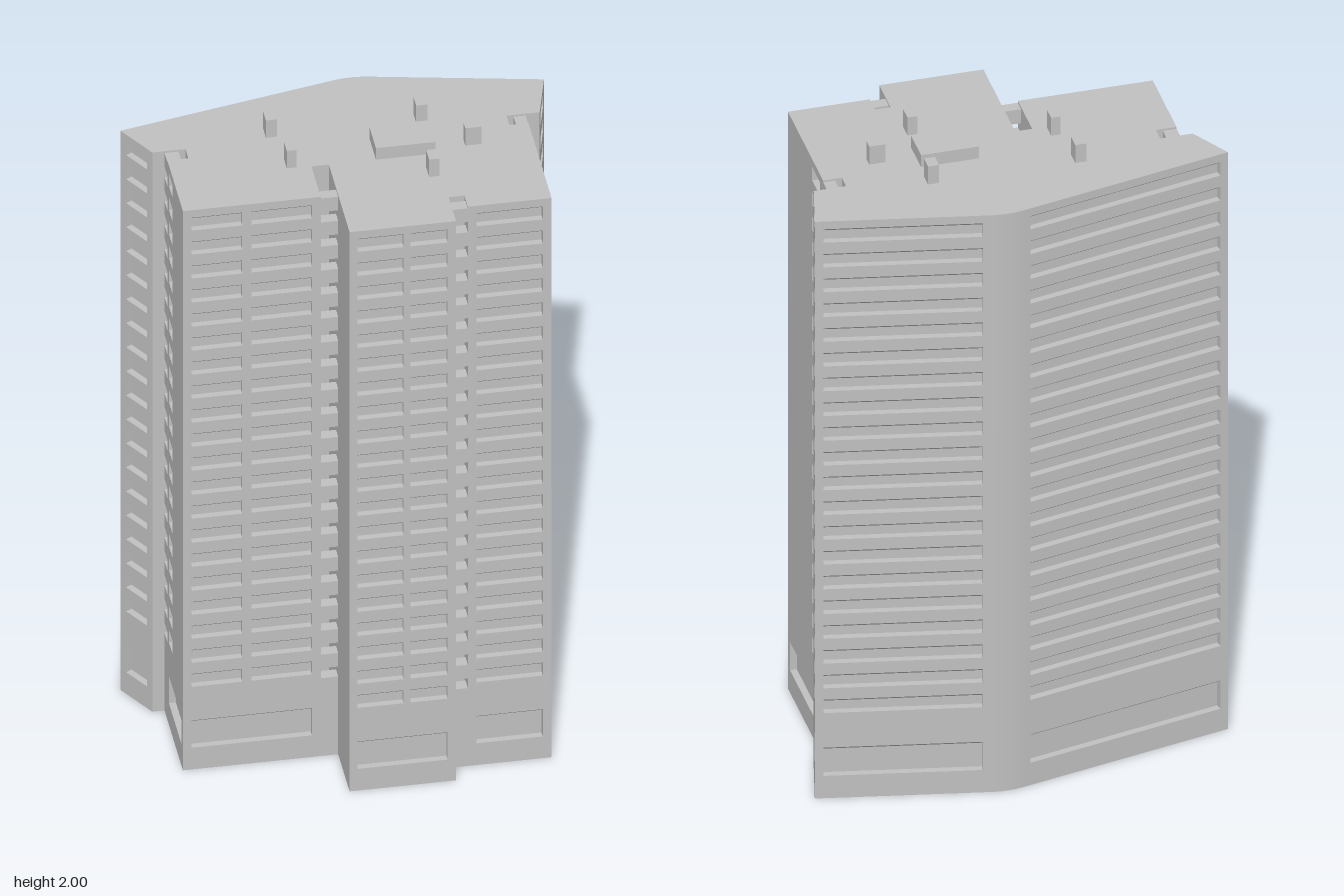
import * as THREE from 'three';
import { mergeGeometries } from 'three/addons/utils/BufferGeometryUtils.js';

const ROOF = 1.94, FLOORS = 20, PITCH = 0.0833, TOP_ROW = 1.914;
const DEPTH = 0.02, DROP = 0.016;   // window recess depth and fall of its sloping soffit

// Sloped-head recess behind the window opening u0..u1, v0..v1
function recess([u0, u1, v0, v1]) {
  const outer = [[u0, v0, 0], [u1, v0, 0], [u1, v1, 0], [u0, v1, 0]];
  const inner = [[u0, v0, -DEPTH], [u1, v0, -DEPTH], [u1, v1 - DROP, -DEPTH], [u0, v1 - DROP, -DEPTH]];
  const quads = [inner];
  for (let i = 0; i < 4; i++) {
    const j = (i + 1) % 4;
    quads.push([outer[i], outer[j], inner[j], inner[i]]);
  }
  const pos = quads.flatMap(([a, b, c, d]) => [a, b, c, a, c, d]).flat();
  const g = new THREE.BufferGeometry();
  g.setAttribute('position', new THREE.Float32BufferAttribute(pos, 3));
  g.computeVertexNormals();
  return g;
}

// Flat facade from a to b (x, z) with window columns on every floor and large ground openings
function wallGeometry(a, b, columns = [], ground = []) {
  const d = new THREE.Vector3(b[0] - a[0], 0, b[1] - a[1]);
  const length = d.length();
  d.normalize();
  const windows = ground.map(([u0, u1]) => [u0, u1, 0.075, 0.17]);
  for (let f = 0; f < FLOORS; f++) {
    const top = TOP_ROW - f * PITCH;
    for (const [u0, u1] of columns) windows.push([u0, u1, top - 0.045, top]);
  }
  const rect = (u0, u1, v0, v1) => [[u0, v0], [u1, v0], [u1, v1], [u0, v1]].map(p => new THREE.Vector2(...p));
  const shape = new THREE.Shape(rect(0, length, 0, ROOF));
  for (const w of windows) shape.holes.push(new THREE.Path(rect(...w)));
  const face = new THREE.ShapeGeometry(shape).toNonIndexed();
  face.deleteAttribute('uv');
  const g = mergeGeometries([face, ...windows.map(recess)]);
  const up = new THREE.Vector3(0, 1, 0);
  const m = new THREE.Matrix4().makeBasis(d, up, d.clone().cross(up)).setPosition(a[0], 0, a[1]);
  return g.applyMatrix4(m);
}

export function createModel() {
  const group = new THREE.Group();
  const concrete = new THREE.MeshStandardMaterial({ color: 0xc0c0c0 });
  concrete.name = 'concrete';
  const add = (name, geometry) => {
    const mesh = new THREE.Mesh(geometry, concrete);
    mesh.name = name;
    group.add(mesh);
  };
  const box = (name, x0, x1, y0, y1, z0, z1) => {
    const g = new THREE.BoxGeometry(x1 - x0, y1 - y0, z1 - z0);
    add(name, g.translate((x0 + x1) / 2, (y0 + y1) / 2, (z0 + z1) / 2));
  };

  // Footprint corners (x, z): left wing, round the front, right wing, back
  const plan = [
    [-0.61, -0.23], [-0.54, -0.11], [-0.445, -0.11], [-0.445, -0.065], [-0.505, -0.065],
    [-0.505, 0.185], [-0.11, 0.185], [-0.11, 0.035], [-0.06, 0.035], [-0.06, 0.368],
    [0.245, 0.368], [0.245, 0.25], [0.29, 0.25], [0.29, 0.305], [0.53, 0.305],
    [0.53, -0.065], [0.475, -0.065], [0.475, -0.11], [0.57, -0.11], [0.61, -0.265],
    [0.13, -0.364], [0.02, -0.364],
  ];
  // Windows by the index of the wall's first corner: [name, columns, ground openings]
  const facades = {
    0: ['leftWingFront', [[0.025, 0.115]], [[0.025, 0.115]]],
    4: ['leftSide', [[0.025, 0.08]], [[0.025, 0.23]]],
    5: ['frontLeft', [[0.025, 0.17], [0.197, 0.37]], [[0.025, 0.37]]],
    9: ['frontMiddle', [[0.022, 0.155], [0.175, 0.281]], [[0.022, 0.281]]],
    13: ['frontRight', [[0.025, 0.215]], [[0.025, 0.215]]],
    14: ['rightSide', [[0.255, 0.34]], [[0.022, 0.34]]],
    18: ['rightWingFront', [[0.027, 0.133]], [[0.027, 0.133]]],
    19: ['backRight', [[0.025, 0.475]], [[0.025, 0.475]]],
    21: ['backLeft', [[0.015, 0.62]], [[0.015, 0.62]]],
  };
  plan.forEach((a, i) => {
    if (i === 20) return;   // rounded back corner is made below
    const [name, columns, ground] = facades[i] || ['plain'];
    add(name + 'Wall', wallGeometry(a, plan[(i + 1) % plan.length], columns, ground));
  });

  // Rounded back corner
  const curve = new THREE.QuadraticBezierCurve(
    new THREE.Vector2(...plan[20]), new THREE.Vector2(0.075, -0.376), new THREE.Vector2(...plan[21]));
  const bend = new THREE.PlaneGeometry(1, ROOF, 12, 1);
  const p = bend.attributes.position;
  for (let i = 0; i < p.count; i++) {
    const c = curve.getPoint(p.getX(i) + 0.5);
    p.setXYZ(i, c.x, p.getY(i) + ROOF / 2, c.y);
  }
  bend.computeVertexNormals();
  add('roundedBackCorner', bend);

  // Roof and underside
  const outline = plan.map(q => new THREE.Vector2(...q));
  outline.splice(21, 0, ...curve.getPoints(12).slice(1, -1));
  const roof = new THREE.ShapeGeometry(new THREE.Shape(outline.map(q => new THREE.Vector2(q.x, -q.y))));
  add('roof', roof.rotateX(-Math.PI / 2).translate(0, ROOF, 0));
  add('underside', new THREE.ShapeGeometry(new THREE.Shape(outline)).rotateX(Math.PI / 2));

  // Balcony panels across the four slots, over a tall base panel
  const slots = [
    [-0.11, -0.06, 0.15, 0.185], [0.245, 0.29, 0.268, 0.305],
    [-0.505, -0.465, -0.11, -0.065], [0.495, 0.53, -0.11, -0.065],
  ];
  for (const [x0, x1, z0, z1] of slots) {
    box('slotBase', x0, x1, 0, 0.27, z0, z1);
    for (let f = 0; f < FLOORS; f++) {
      const top = TOP_ROW + 0.02 - f * PITCH;
      box('slotPanel', x0, x1, top - 0.047, top, z0, z1);
    }
  }

  // Rooftop plant room and chimneys
  box('plantRoom', 0.075, 0.245, ROOF, 1.98, -0.072, 0.035);
  const chimneys = [
    [-0.212, -0.18, -0.168, -0.124], [0.218, 0.25, -0.164, -0.12], [-0.18, -0.152, -0.014, 0.032],
    [0.335, 0.382, -0.02, 0.012], [0.208, 0.238, 0.096, 0.144],
  ];
  for (const [x0, x1, z0, z1] of chimneys) box('chimney', x0, x1, ROOF, 2, z0, z1);

  return group;
}
